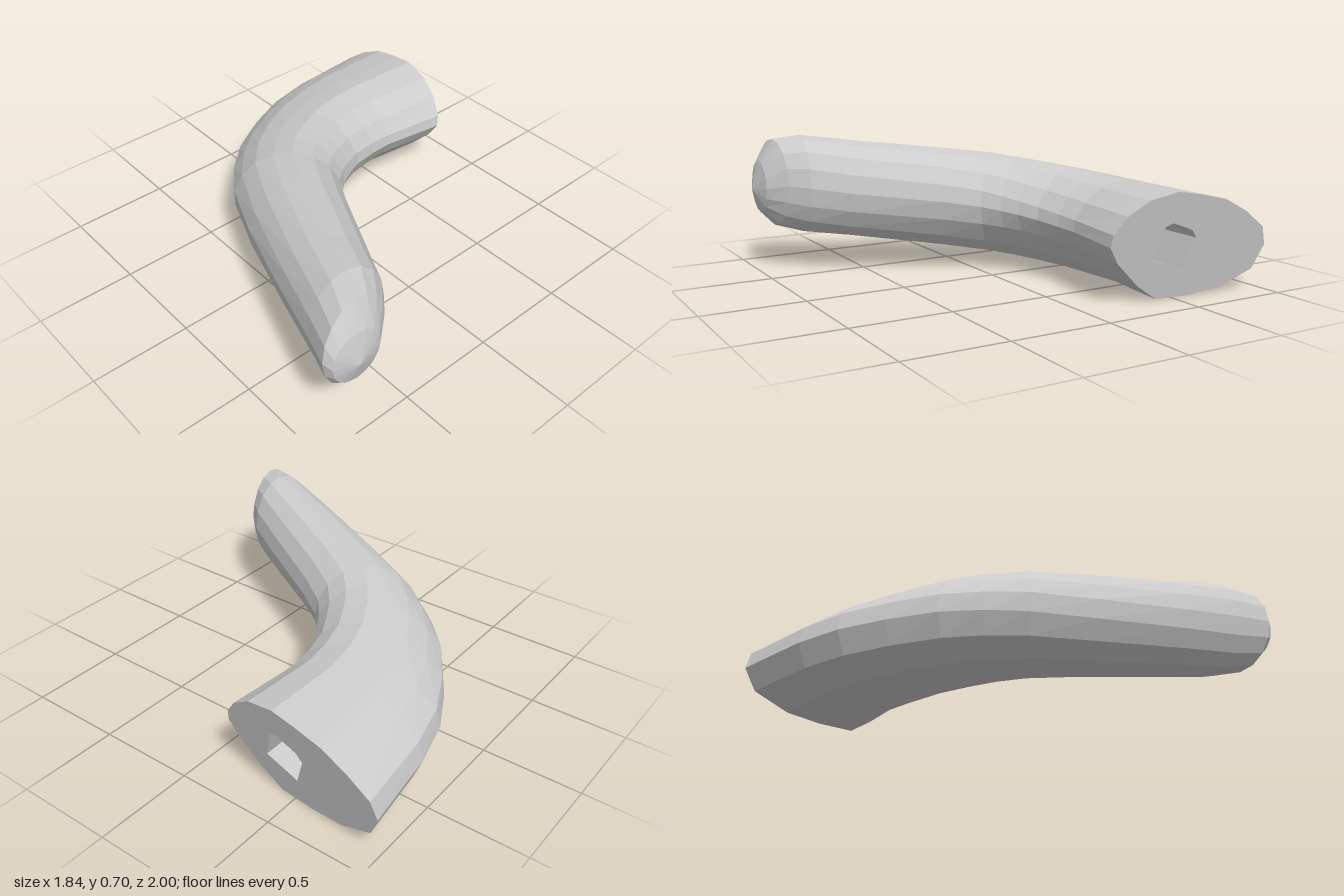
import * as THREE from 'three';

// Stations along the arm: [inner x, inner z, outer x, outer z, bottom y, top y, roundness]
const STATIONS = [
  [0.82, -0.13, 0.89, -1.0, 0.0, 0.52, 0],
  [0.48, -0.17, 0.48, -0.95, 0.015, 0.525, 0],
  [0.36, -0.16, 0.24, -0.89, 0.02, 0.535, 0.05],
  [0.22, -0.13, 0.02, -0.78, 0.035, 0.55, 0.15],
  [0.12, -0.08, -0.19, -0.64, 0.05, 0.57, 0.25],
  [0.04, -0.03, -0.34, -0.49, 0.065, 0.585, 0.4],
  [-0.04, 0.04, -0.46, -0.32, 0.08, 0.605, 0.55],
  [-0.14, 0.2, -0.6, 0.0, 0.11, 0.63, 0.7],
  [-0.36, 0.61, -0.76, 0.45, 0.165, 0.675, 0.9],
  [-0.46, 0.79, -0.86, 0.75, 0.195, 0.705, 1],
  [-0.54, 0.88, -0.92, 0.92, 0.23, 0.685, 1],
  [-0.64, 0.965, -0.9, 0.96, 0.3, 0.57, 1],
  [-0.78, 1.0, -0.78, 1.0, 0.42, 0.42, 1],
];

// Section of the thick end: u runs inner to outer, v bottom to top
const SECTION = [
  [0, 0.54], [0.01, 0.65], [0.08, 0.81], [0.2, 0.94], [0.37, 1], [0.52, 0.96],
  [0.68, 0.9], [0.83, 0.77], [0.965, 0.6], [1, 0.42], [0.94, 0.19], [0.74, 0.04],
  [0.54, 0], [0.33, 0], [0.2, 0.15], [0.06, 0.38],
];

// Socket outline in the cut end: [-z, y]
const SOCKET = [[0.36, 0.2], [0.41, 0.355], [0.45, 0.37], [0.56, 0.33], [0.59, 0.29], [0.535, 0.14]];
const SOCKET_DEPTH = 0.28;

// The thick end is cut by a slanted plane
const cutX = (y, z) => 0.753 - 0.105 * z + 0.19 * y;

function ring([ix, iz, ox, oz, lo, hi, round], k) {
  return SECTION.map(([su, sv], i) => {
    const a = (i / SECTION.length) * Math.PI * 2;
    const u = THREE.MathUtils.lerp(su, 0.5 - 0.5 * Math.cos(a), round);
    const v = THREE.MathUtils.lerp(sv, 0.5 + 0.5 * Math.sin(a), round);
    const y = lo + (hi - lo) * v;
    const z = iz + (oz - iz) * u;
    return [k === 0 ? cutX(y, z) : ix + (ox - ix) * u, y, z];
  });
}

// Joins consecutive rings with faces
function loft(rings) {
  const n = rings[0].length;
  const index = [];
  for (let k = 0; k < rings.length - 1; k++) {
    for (let i = 0; i < n; i++) {
      const j = (i + 1) % n;
      const a = k * n + i, b = k * n + j, c = a + n, d = b + n;
      index.push(a, b, c, b, d, c);
    }
  }
  const geometry = new THREE.BufferGeometry();
  geometry.setAttribute('position', new THREE.Float32BufferAttribute(rings.flat(2), 3));
  geometry.setIndex(index);
  geometry.computeVertexNormals();
  return geometry;
}

const toShape = (points, Type) => new Type(points.map(([x, y]) => new THREE.Vector2(x, y)));

// Turns a flat outline in (-z, y) into a face lying in the cut plane
function cutFace(shape, depth) {
  const geometry = new THREE.ShapeGeometry(shape);
  const p = geometry.attributes.position;
  for (let i = 0; i < p.count; i++) {
    const z = -p.getX(i), y = p.getY(i);
    p.setXYZ(i, cutX(y, z) - depth, y, z);
  }
  geometry.computeVertexNormals();
  return geometry;
}

export function createModel() {
  const group = new THREE.Group();
  group.name = 'bentArm';
  const material = new THREE.MeshStandardMaterial({ color: 0xcccccc, flatShading: true });
  const inside = new THREE.MeshStandardMaterial({ color: 0xcccccc, flatShading: true, side: THREE.DoubleSide });
  const add = (name, geometry, mat) => {
    const mesh = new THREE.Mesh(geometry, mat);
    mesh.name = name;
    group.add(mesh);
  };

  // Bent body with its rounded tip
  const rings = STATIONS.map(ring);
  add('armBody', loft(rings), material);

  // Slanted end face, pierced by the socket
  const endShape = toShape(rings[0].map(([, y, z]) => [-z, y]), THREE.Shape);
  endShape.holes.push(toShape(SOCKET, THREE.Path));
  add('endFace', cutFace(endShape, 0), material);

  // Socket walls and floor
  const socketRing = (depth) => SOCKET.map(([s, y]) => [cutX(y, -s) - depth, y, -s]);
  add('socketWalls', loft([socketRing(0), socketRing(SOCKET_DEPTH)]), inside);
  add('socketFloor', cutFace(toShape(SOCKET, THREE.Shape), SOCKET_DEPTH), inside);

  return group;
}
